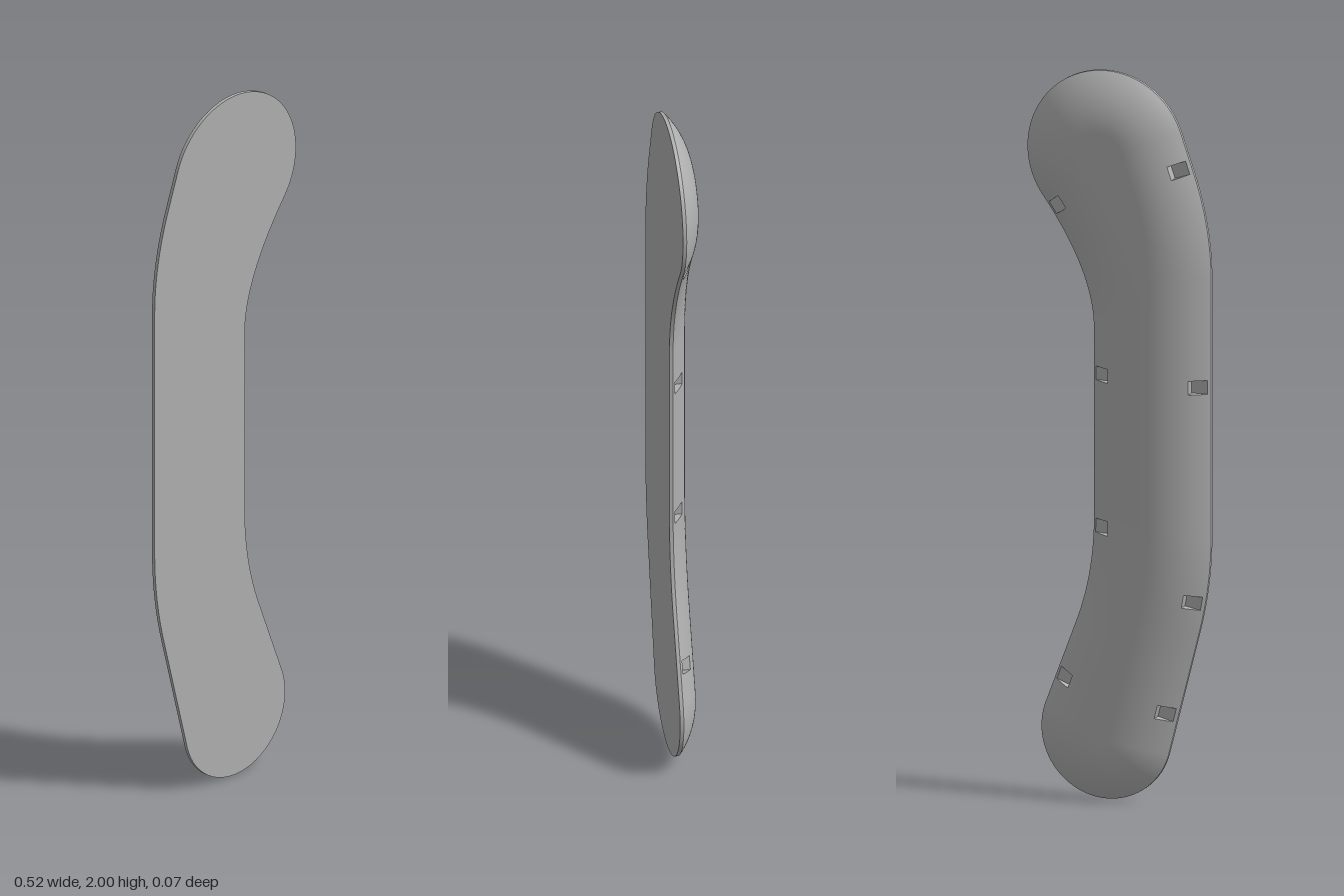
import * as THREE from 'three';

const FRONT = 0.034, EDGE = 0.024, BACK = -0.034; // depth levels
const SEGMENTS = 480, RINGS = 16, INSET = 0.155;
const RADIUS = (INSET ** 2 + (EDGE - BACK) ** 2) / (2 * (EDGE - BACK));
const POCKET = { width: 4, inner: 6, outer: 1 }; // in grid cells

// Curved grip outline, counter-clockwise from the front
function outlinePoints() {
  const rad = THREE.MathUtils.degToRad;
  const s = new THREE.Shape();
  s.moveTo(0.07, 0.77);
  s.lineTo(0.07, 1.29);
  s.quadraticCurveTo(0.07, 1.441, 0.217, 1.643);
  s.absarc(0.035, 1.775, 0.225, rad(-36), rad(161), false);
  s.lineTo(-0.215, 1.74);
  s.quadraticCurveTo(-0.265, 1.595, -0.265, 1.45);
  s.lineTo(-0.265, 0.75);
  s.quadraticCurveTo(-0.265, 0.613, -0.231, 0.48);
  s.absarc(0.035, 0.185, 0.185, rad(194.3), rad(380.7), false);
  s.lineTo(0.121, 0.48);
  s.quadraticCurveTo(0.07, 0.615, 0.07, 0.77);
  return s.getSpacedPoints(SEGMENTS).slice(0, SEGMENTS);
}

function geometryFrom(points, index) {
  const g = new THREE.BufferGeometry().setFromPoints(points);
  g.setIndex(index);
  g.computeVertexNormals();
  return g;
}

export function createModel() {
  const group = new THREE.Group();
  const grey = new THREE.MeshStandardMaterial({ color: 0xb0b0b0 });
  grey.name = 'grey';
  const add = (name, geometry) => {
    const mesh = new THREE.Mesh(geometry, grey);
    mesh.name = name;
    group.add(mesh);
  };

  const outline = outlinePoints();
  const normals = outline.map((p, i) => {
    const a = outline[(i + SEGMENTS - 1) % SEGMENTS], b = outline[(i + 1) % SEGMENTS];
    return new THREE.Vector2(b.y - a.y, a.x - b.x).normalize();
  });
  const at = (i, [inset, z]) => {
    const k = i % SEGMENTS;
    return new THREE.Vector3(
      outline[k].x - normals[k].x * inset, outline[k].y - normals[k].y * inset, z);
  };

  // Rounded back profile as [inset, z] pairs from the edge to the flat
  const profile = Array.from({ length: RINGS + 1 }, (_, j) => {
    const a = Math.asin(INSET / RADIUS) * (1 - j / RINGS);
    return [INSET - RADIUS * Math.sin(a), BACK + RADIUS * (1 - Math.cos(a))];
  });

  // Starting grid column of each pocket: [side, height]
  const starts = [
    [1, 1.61], [1, 1.17], [1, 0.75], [1, 0.335],
    [-1, 1.755], [-1, 1.155], [-1, 0.56], [-1, 0.25],
  ].map(([side, y]) => {
    let best = 0, gap = Infinity;
    outline.forEach((p, i) => {
      const d = Math.abs(p.y - y);
      if (normals[i].x * side > 0.3 && d < gap) { gap = d; best = i; }
    });
    return (best - POCKET.width / 2 + SEGMENTS) % SEGMENTS;
  });
  const isCut = (i, j) => j >= POCKET.outer && j < POCKET.inner &&
    starts.some((s) => (i - s + SEGMENTS) % SEGMENTS < POCKET.width);

  // Closed band of quads through rings of [inset, z]
  function band(rings, skip = () => false) {
    const index = [];
    for (let j = 0; j < rings.length - 1; j++) {
      for (let i = 0; i < SEGMENTS; i++) {
        if (skip(i, j)) continue;
        const n = (i + 1) % SEGMENTS;
        const a = j * SEGMENTS + i, b = a + SEGMENTS;
        const c = j * SEGMENTS + n, d = c + SEGMENTS;
        index.push(a, b, c, c, b, d);
      }
    }
    return index;
  }
  const ringPoints = (rings) => rings.flatMap((r) => outline.map((_, i) => at(i, r)));

  // Flat front face
  const frontPoints = ringPoints([[0, FRONT]]);
  add('frontFace', geometryFrom(frontPoints, THREE.ShapeUtils.triangulateShape(outline, []).flat()));

  // Thin upright rim
  const rim = [[0, FRONT], [0, EDGE]];
  add('rim', geometryFrom(ringPoints(rim), band(rim)));

  // Domed back with its flat centre; pocket cells are left open
  const backPoints = ringPoints(profile);
  const first = RINGS * SEGMENTS;
  const inner = backPoints.slice(first).map((p) => new THREE.Vector2(p.x, p.y));
  const centre = THREE.ShapeUtils.triangulateShape(inner, [])
    .flatMap(([a, b, c]) => [first + a, first + c, first + b]);
  const back = geometryFrom(backPoints, [...band(profile), ...centre]);
  back.setIndex([...band(profile, isCut), ...centre]);
  add('domedBack', back);

  // Notched pockets along both edges
  const [d0, z0] = profile[POCKET.outer], [d1, z1] = profile[POCKET.inner];
  const section = [[d0, z0], [d1, z0], [d1, z1]];
  starts.forEach((s, n) => {
    const pts = [];
    for (let i = s; i < s + POCKET.width; i++) {
      for (let j = 0; j < 2; j++) {
        const a = at(i, section[j]), b = at(i, section[j + 1]);
        const c = at(i + 1, section[j]), d = at(i + 1, section[j + 1]);
        pts.push(a, b, c, c, b, d);
      }
    }
    for (let j = POCKET.outer; j < POCKET.inner; j++) {
      const e = s + POCKET.width;
      pts.push(at(s, section[1]), at(s, profile[j]), at(s, profile[j + 1]));
      pts.push(at(e, section[1]), at(e, profile[j + 1]), at(e, profile[j]));
    }
    const g = new THREE.BufferGeometry().setFromPoints(pts);
    g.computeVertexNormals();
    add(`edgePocket${n + 1}`, g);
  });

  return group;
}
